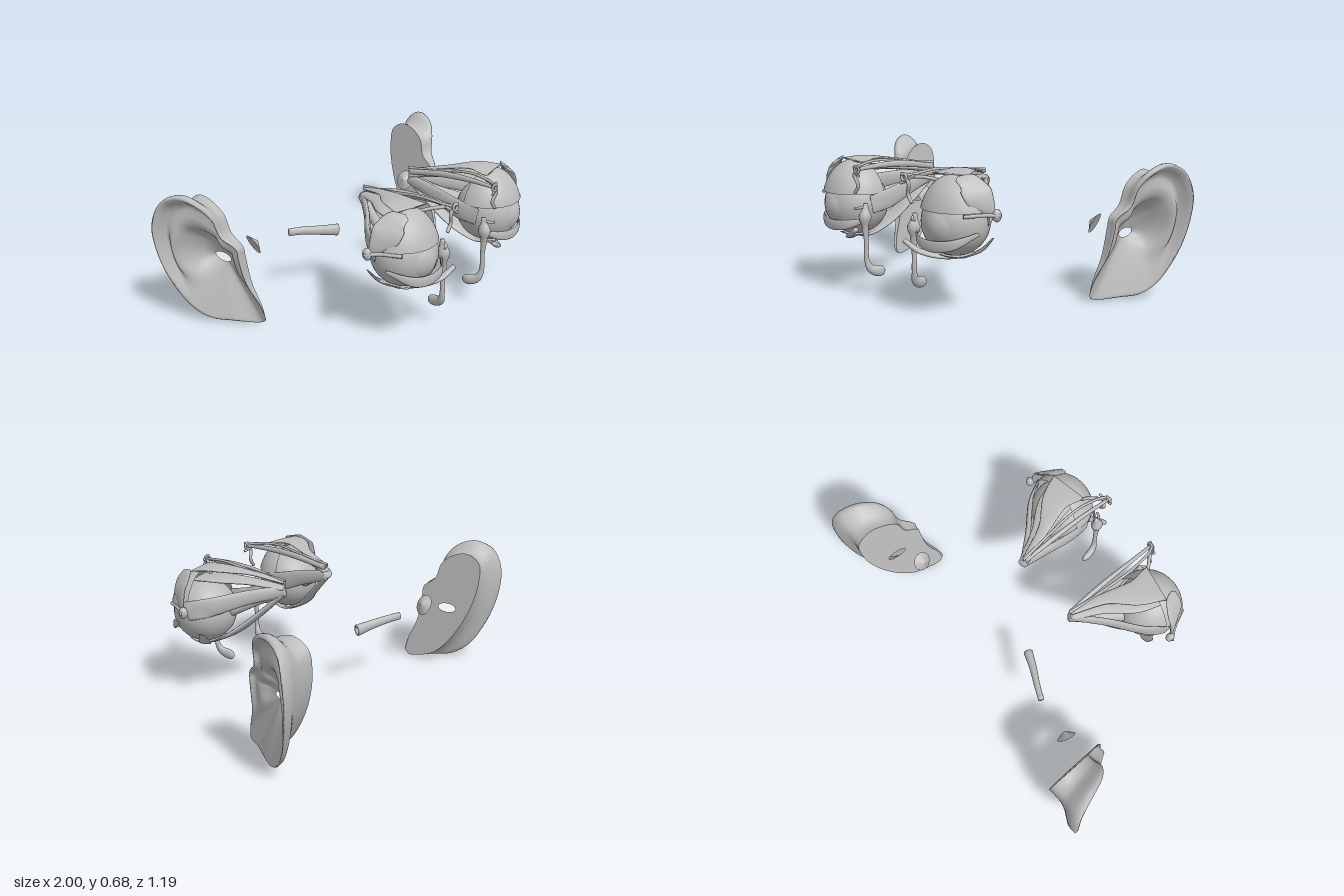
import * as THREE from 'three';

const grey = new THREE.MeshStandardMaterial({ color: 0xbcbcbc, side: THREE.DoubleSide });
grey.name = 'plain grey';
const V = (x, y, z) => new THREE.Vector3(x, y, z);
const { lerp, smoothstep } = THREE.MathUtils;

function mesh(name, geometry) {
  const m = new THREE.Mesh(geometry, grey);
  m.name = name;
  return m;
}

// Smooth skin over closed rings that all have the same number of points
function loft(rings) {
  const n = rings[0].length, pos = [], idx = [];
  rings.forEach(r => r.forEach(p => pos.push(p.x, p.y, p.z)));
  for (let i = 0; i < rings.length - 1; i++) {
    for (let j = 0; j < n; j++) {
      const k = (j + 1) % n;
      const a = i * n + j, b = i * n + k, c = a + n, d = b + n;
      idx.push(a, b, c, b, d, c);
    }
  }
  const g = new THREE.BufferGeometry();
  g.setAttribute('position', new THREE.Float32BufferAttribute(pos, 3));
  g.setIndex(idx);
  g.computeVertexNormals();
  return g;
}

const BALL = V(0.35, 0.45, 0.43), R = 0.162;

// Elliptical strap: rows are [x, y, z, halfWidth, halfThickness]; it is kept outside the eyeball
function strap(name, rows, side, wrap = true, steps = 28, n = 16) {
  const path = new THREE.CatmullRomCurve3(rows.map(r => V(r[0], r[1], r[2])));
  const size = new THREE.CatmullRomCurve3(rows.map(r => V(r[3], r[4], 0)));
  const rings = [];
  for (let i = -1; i <= steps + 1; i++) {
    const u = Math.min(Math.max(i / steps, 0), 1);
    const end = i < 0 || i > steps ? 0.01 : 1;
    const c = path.getPoint(u), T = path.getTangent(u), s = size.getPoint(u);
    const S = V(...side).addScaledVector(T, -T.dot(V(...side))).normalize();
    const N = T.clone().cross(S);
    rings.push(Array.from({ length: n }, (_, j) => {
      const a = j / n * Math.PI * 2, v = s.y * Math.sin(a) * end;
      const p = c.clone().addScaledVector(S, s.x * Math.cos(a) * end).addScaledVector(N, v);
      const out = p.clone().sub(BALL), least = R + 0.006 + Math.abs(v) * 0.5;
      if (wrap && out.length() < least) p.copy(BALL).addScaledVector(out.normalize(), least);
      return p;
    }));
  }
  return mesh(name, loft(rings));
}

const cord = (name, pts, r) => strap(name, pts.map(p => [...p, r, r]), [0.6, 0.3, 0.74], false, 24, 8);

function makeEye() {
  const g = new THREE.Group();
  g.name = 'eye';
  const X = [1, 0, 0], Y = [0, 1, 0];

  // Ball, cornea and upper lid
  g.add(mesh('eyeball', new THREE.SphereGeometry(R, 40, 28).translate(BALL.x, BALL.y, BALL.z)));
  g.add(mesh('cornea', new THREE.SphereGeometry(0.11, 32, 24).translate(0.358, 0.445, 0.49)));
  g.add(mesh('upperLid', new THREE.SphereGeometry(1, 32, 16, -0.2, Math.PI + 0.4, 0, 1.29)
    .scale(0.184, 0.222, 0.172).translate(0.353, 0.45, 0.422)));

  // Muscles running from the shared rear point to the ball
  g.add(strap('lidLifter', [[0.18, 0.62, 0.05, 0.015, 0.008], [0.24, 0.655, 0.22, 0.03, 0.008],
    [0.32, 0.675, 0.36, 0.07, 0.008], [0.34, 0.668, 0.46, 0.1, 0.006]], X));
  g.add(strap('upperMuscle', [[0.185, 0.59, 0.045, 0.025, 0.015], [0.25, 0.615, 0.2, 0.045, 0.014],
    [0.32, 0.625, 0.34, 0.08, 0.012], [0.35, 0.62, 0.46, 0.09, 0.006]], X));
  g.add(strap('lowerMuscle', [[0.19, 0.56, 0.05, 0.022, 0.014], [0.235, 0.44, 0.17, 0.035, 0.014],
    [0.3, 0.335, 0.29, 0.06, 0.013], [0.34, 0.285, 0.41, 0.07, 0.009], [0.35, 0.295, 0.5, 0.06, 0.004]], X));
  g.add(strap('outerMuscle', [[0.19, 0.577, 0.045, 0.03, 0.015], [0.32, 0.549, 0.18, 0.038, 0.014],
    [0.45, 0.512, 0.3, 0.048, 0.013], [0.52, 0.49, 0.4, 0.05, 0.007]], Y));
  g.add(strap('innerMuscle', [[0.18, 0.57, 0.045, 0.028, 0.014], [0.18, 0.53, 0.2, 0.04, 0.014],
    [0.18, 0.48, 0.36, 0.05, 0.012], [0.19, 0.46, 0.47, 0.045, 0.005]], Y));
  g.add(strap('opticNerve', [[0.185, 0.578, 0.04, 0.025, 0.025], [0.24, 0.53, 0.14, 0.022, 0.022],
    [0.31, 0.47, 0.29, 0.04, 0.04]], X, false));
  g.add(strap('lowerSling', [[0.17, 0.355, 0.59, 0.012, 0.012], [0.25, 0.31, 0.56, 0.02, 0.012],
    [0.35, 0.285, 0.46, 0.03, 0.011], [0.44, 0.31, 0.36, 0.032, 0.009], [0.49, 0.37, 0.33, 0.018, 0.003]], [0.3, 0, 1]));
  g.add(strap('lowerLid', [[0.18, 0.39, 0.52, 0.01, 0.005], [0.26, 0.365, 0.58, 0.024, 0.006],
    [0.36, 0.355, 0.588, 0.027, 0.006], [0.45, 0.37, 0.56, 0.024, 0.006], [0.52, 0.415, 0.46, 0.008, 0.004]], Y));

  // Pulley muscle and fine cords on the nose side
  g.add(strap('pulleyMuscle', [[0.175, 0.61, 0.05, 0.012, 0.01], [0.172, 0.645, 0.25, 0.017, 0.012],
    [0.17, 0.655, 0.42, 0.014, 0.01], [0.165, 0.65, 0.58, 0.008, 0.008]], Y));
  g.add(cord('pulleyTendon', [[0.165, 0.65, 0.58], [0.22, 0.65, 0.52], [0.3, 0.625, 0.43]], 0.009));
  g.add(cord('upperCord', [[0.18, 0.63, 0.04], [0.2, 0.65, 0.22], [0.21, 0.675, 0.42], [0.18, 0.66, 0.57], [0.15, 0.665, 0.585]], 0.007));
  g.add(cord('frontCord', [[0.16, 0.66, 0.575], [0.19, 0.62, 0.575], [0.175, 0.57, 0.565], [0.2, 0.53, 0.565]], 0.009));
  g.add(cord('forkCord', [[0.145, 0.62, 0.585], [0.17, 0.63, 0.575], [0.21, 0.66, 0.56]], 0.007));
  g.add(mesh('pulley', new THREE.TorusGeometry(0.016, 0.007, 8, 16).translate(0.165, 0.65, 0.58)));

  // Tear gland, corner tendon, sac and duct
  g.add(strap('tearGland', [[0.42, 0.66, 0.5, 0.015, 0.006], [0.46, 0.64, 0.47, 0.06, 0.011],
    [0.505, 0.59, 0.45, 0.07, 0.011], [0.535, 0.535, 0.42, 0.04, 0.01], [0.548, 0.495, 0.4, 0.014, 0.006]], [-0.55, 0, 1]));
  g.add(mesh('outerCorner', new THREE.SphereGeometry(1, 16, 12).scale(0.02, 0.03, 0.024).translate(0.56, 0.495, 0.385)));
  g.add(cord('cornerTendon', [[0.58, 0.495, 0.38], [0.54, 0.5, 0.43], [0.49, 0.5, 0.53]], 0.009));
  g.add(strap('tearDuct', [[0.175, 0.475, 0.52, 0.01, 0.012], [0.173, 0.44, 0.525, 0.016, 0.018],
    [0.172, 0.37, 0.53, 0.016, 0.018], [0.17, 0.28, 0.525, 0.011, 0.012], [0.17, 0.19, 0.525, 0.012, 0.013],
    [0.16, 0.145, 0.508, 0.016, 0.022], [0.15, 0.127, 0.468, 0.018, 0.028], [0.148, 0.125, 0.44, 0.014, 0.024],
    [0.147, 0.126, 0.428, 0.006, 0.01]], X, false));
  g.add(cord('tearCanal', [[0.172, 0.46, 0.53], [0.185, 0.455, 0.55], [0.21, 0.45, 0.56]], 0.007));
  return g;
}

// Ear outline rows: rim z, y, x, then the matching point z, y on the flat inner plate
const EAR = [
  [-.155, .03, .70, -.165, .03], [-.165, .10, .715, -.17, .10], [-.21, .22, .755, -.215, .22],
  [-.225, .37, .785, -.23, .37], [-.23, .42, .79, -.235, .42], [-.29, .48, .83, -.30, .475],
  [-.31, .58, .86, -.33, .565], [-.355, .645, .90, -.40, .62], [-.45, .68, .94, -.48, .635],
  [-.54, .64, .975, -.55, .59], [-.585, .53, 1.0, -.56, .50], [-.588, .40, .99, -.54, .38],
  [-.55, .23, .955, -.485, .24], [-.475, .08, .90, -.405, .115], [-.395, .02, .85, -.33, .045],
  [-.30, .01, .785, -.255, .018], [-.19, .005, .70, -.18, .008],
];

function makeEar() {
  const g = new THREE.Group();
  g.name = 'ear';
  const n = 80;
  const plateX = (y, z) => 0.69 + 0.12 * y - 0.05 * (z + 0.17);
  const sample = pts => {
    const c = new THREE.CatmullRomCurve3(pts, true);
    return Array.from({ length: n }, (_, i) => c.getPoint(i / n));
  };
  const rim = sample(EAR.map(r => V(r[2], r[1], r[0])));
  const plate = sample(EAR.map(r => V(plateX(r[4], r[3]), r[4], r[3])));
  const hole = rim.map(p => {
    const a = Math.atan2(p.y - 0.32, p.z + 0.39);
    const z = -0.39 + 0.052 * Math.cos(a), y = 0.32 + 0.024 * Math.sin(a);
    return V(plateX(y, z), y, z);
  });
  // Bowl, inner ridge, groove and rolled rim, with a plainer lobe below
  const bowl = [[0, 0], [.13, .06], [.26, .17], [.37, .4], [.47, .66], [.56, .78], [.66, .78], [.76, .71],
    [.84, .73], [.89, .89], [.94, 1.01], [.98, 1.01], [1, .9]];
  const rings = bowl.map(([s, f]) => rim.map((p, i) => {
    const y = lerp(hole[i].y, p.y, s), z = lerp(hole[i].z, p.z, s);
    const high = smoothstep(p.y, 0.08, 0.3);
    const h = lerp(s < 1 ? Math.pow(s, 0.8) : 0.93, f, high);
    return V(plateX(y, z) + (p.x - plateX(p.y, p.z)) * h, y, z);
  }));
  // Back of the ear: under the rim, into the upper hollow and down to the plate
  for (const [t, f, dip] of [[.05, .8, 0], [.35, .68, 0], [.7, .52, .04], [.9, .36, .06], [.97, .16, .03], [1, 0, 0]])
    rings.push(rim.map((p, i) => {
      const q = plate[i], d = dip * smoothstep(p.y, 0.25, 0.5) * smoothstep(-p.z, 0.3, 0.42);
      const y = lerp(lerp(p.y, q.y, t), 0.32, d), z = lerp(lerp(p.z, q.z, t), -0.39, d);
      return V(plateX(y, z) + (p.x - plateX(p.y, p.z)) * f, y, z);
    }));
  g.add(mesh('outerEar', loft(rings)));
  g.add(mesh('earPlate', loft([plate, hole])));

  // Eardrum: shallow tilted cone
  const drum = new THREE.ConeGeometry(0.057, 0.03, 24, 3).scale(1, 1, 0.85);
  drum.rotateZ(Math.PI / 2).rotateZ(-0.45).rotateY(0.2).translate(0.592, 0.365, -0.315);
  g.add(mesh('eardrum', drum));
  return g;
}

// Mirrored copy with real mirrored geometry
function mirrored(group) {
  const out = new THREE.Group();
  out.name = group.name;
  group.children.forEach(m => {
    const geo = m.geometry.clone().scale(-1, 1, 1), ix = geo.index.array;
    for (let i = 0; i < ix.length; i += 3) [ix[i], ix[i + 1]] = [ix[i + 1], ix[i]];
    geo.computeVertexNormals();
    out.add(mesh(m.name, geo));
  });
  return out;
}

export function createModel() {
  const model = new THREE.Group();
  model.name = 'eyesAndEars';
  for (const part of [makeEye(), makeEar()]) model.add(part, mirrored(part));

  // Open ear tube on the right side only
  const curve = new THREE.CatmullRomCurve3([V(-.38, .355, -.295), V(-.31, .35, -.265), V(-.22, .335, -.22), V(-.135, .32, -.185)]);
  const rings = [];
  const ring = (u, r) => {
    const c = curve.getPoint(u), T = curve.getTangent(u);
    const S = V(0, 1, 0).addScaledVector(T, -T.y).normalize(), N = T.clone().cross(S);
    rings.push(Array.from({ length: 16 }, (_, j) => {
      const a = j / 8 * Math.PI;
      return c.clone().addScaledVector(S, r * Math.cos(a)).addScaledVector(N, r * 0.75 * Math.sin(a));
    }));
  };
  ring(0, 0.001);
  for (let i = 0; i <= 16; i++) ring(i / 16, 0.02 + 0.012 * (i / 16) ** 2);
  ring(1, 0.02);
  ring(0.85, 0.014);
  ring(0.8, 0.001);
  model.add(mesh('earTube', loft(rings)));
  return model;
}
